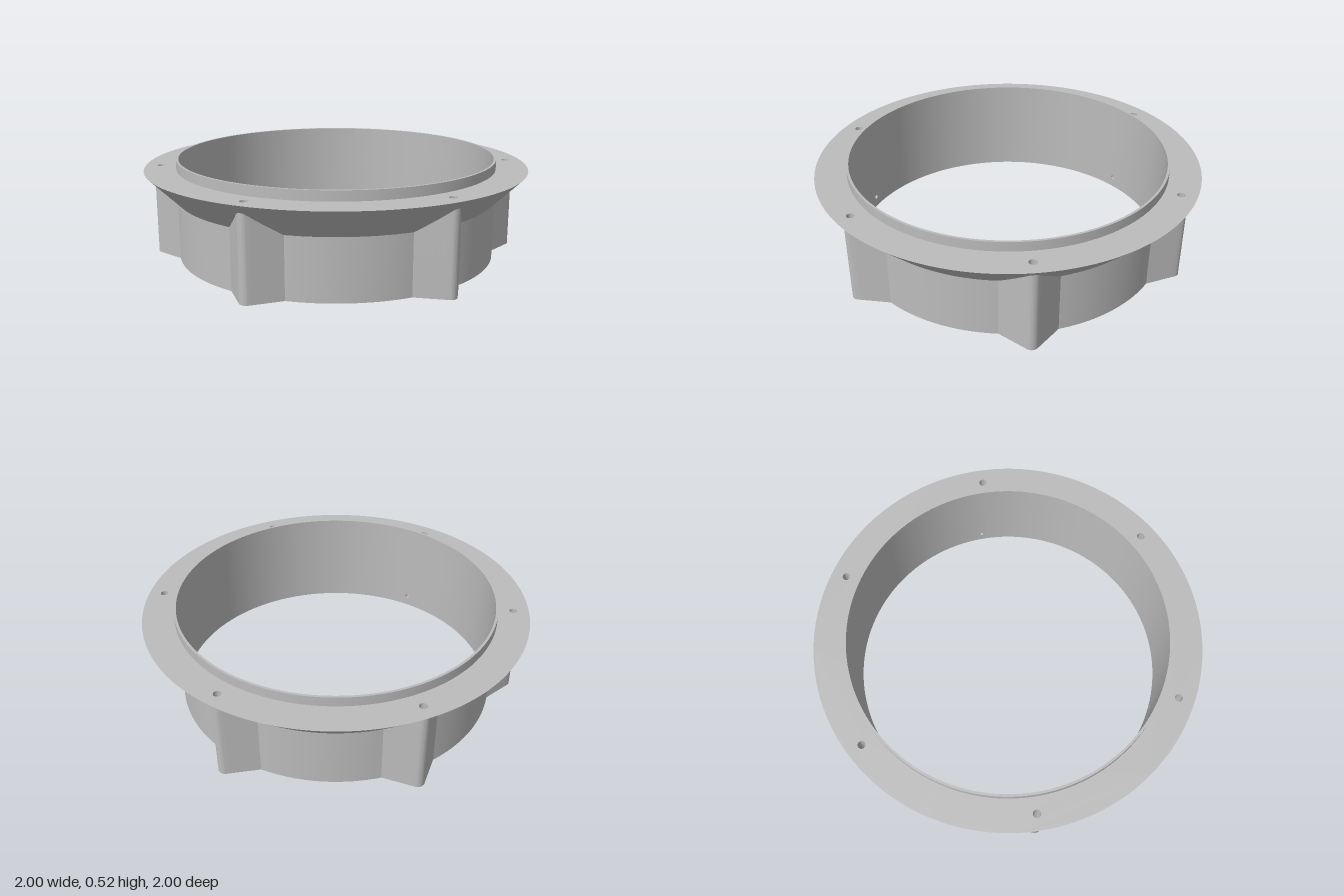
import * as THREE from 'three';
import { toCreasedNormals } from 'three/addons/utils/BufferGeometryUtils.js';

const OUTER = 0.8375, INNER = 0.825, FLANGE = 1;
const CONE_LOW = 0.31, FLANGE_Y = 0.47, TOP = 0.52;
const LUGS = 6, SCREW_R = 0.92, SCREW_HOLE = 0.02, TIP = 0.035;
const PORT_Y = 0.06, PORT_HOLE = 0.012, PORT_DEPTH = 0.06, PANEL = 0.03;
const PORTS = [2.5, 122.5, 242.5].map(THREE.MathUtils.degToRad);

const at = (r, a, y) => new THREE.Vector3(r * Math.sin(a), y, r * Math.cos(a));
const coneY = (r) => CONE_LOW + (FLANGE_Y - CONE_LOW) * (r - OUTER) / (FLANGE - OUTER);

function arc(r, y, a0 = 0, a1 = Math.PI * 2, n = 144) {
  return Array.from({ length: n + 1 }, (_, i) => at(r, a0 + (a1 - a0) * i / n, y));
}

// Skin between two matching point rows; faces outward when b lies above a
function loft(a, b) {
  const pos = [];
  for (let i = 0; i < a.length - 1; i++) {
    for (const p of [a[i], a[i + 1], b[i + 1], a[i], b[i + 1], b[i]]) pos.push(p.x, p.y, p.z);
  }
  const g = new THREE.BufferGeometry();
  g.setAttribute('position', new THREE.Float32BufferAttribute(pos, 3));
  return toCreasedNormals(g, 0.4);
}

// Ring outline with six round-nosed lugs, counterclockwise from above
function outline() {
  const base = THREE.MathUtils.degToRad(9.8), tangent = 0.777, pts = [];
  const foot = at(OUTER, base, 0);
  const shoulder = at(TIP, tangent, 0).add(new THREE.Vector3(0, 0, SCREW_R));
  const half = [];
  for (let i = 0; i < 8; i++) half.push(foot.clone().lerp(shoulder, i / 8));
  for (let i = 0; i < 8; i++) {
    half.push(at(TIP, tangent * (1 - i / 8), 0).add(new THREE.Vector3(0, 0, SCREW_R)));
  }
  const lug = half.map((p) => new THREE.Vector3(-p.x, 0, p.z));
  lug.push(new THREE.Vector3(0, 0, SCREW_R + TIP), ...half.slice().reverse());
  const pitch = Math.PI * 2 / LUGS;
  const between = arc(OUTER, 0, base, pitch - base, 18).slice(1, -1);
  for (let k = 0; k < LUGS; k++) {
    for (const p of [...lug, ...between]) {
      pts.push(p.clone().applyAxisAngle(new THREE.Vector3(0, 1, 0), k * pitch));
    }
  }
  return pts;
}

// Flat plate with a bore and the six screw holes
function plate(points, bore) {
  const flat = (list) => list.map((p) => new THREE.Vector2(p.x, p.z));
  const shape = new THREE.Shape(flat(points));
  shape.holes.push(new THREE.Path(flat(arc(bore, 0).slice(0, -1))));
  for (let k = 0; k < LUGS; k++) {
    const c = at(SCREW_R, k * Math.PI * 2 / LUGS, 0);
    shape.holes.push(new THREE.Path().absarc(c.x, c.z, SCREW_HOLE, 0, Math.PI * 2));
  }
  return new THREE.ShapeGeometry(shape, 12);
}

// Narrow strip of the bore wall with a small round opening
function portPanel(angle) {
  const w = PANEL * INNER;
  const shape = new THREE.Shape([[-w, 0], [w, 0], [w, TOP], [-w, TOP]].map((p) => new THREE.Vector2(...p)));
  shape.holes.push(new THREE.Path().absarc(0, PORT_Y, PORT_HOLE, 0, Math.PI * 2));
  const g = new THREE.ShapeGeometry(shape, 12);
  const pos = g.attributes.position, nor = g.attributes.normal;
  for (let i = 0; i < pos.count; i++) {
    const a = angle - pos.getX(i) / INNER, p = at(INNER, a, pos.getY(i));
    pos.setXYZ(i, p.x, p.y, p.z);
    nor.setXYZ(i, -Math.sin(a), 0, -Math.cos(a));
  }
  return g;
}

// Tube seen from the inside
function hole(r, length) {
  const g = new THREE.CylinderGeometry(r, r, length, 24, 1, true).toNonIndexed();
  const idx = Array.from({ length: g.attributes.position.count / 3 }, (_, i) => [3 * i, 3 * i + 2, 3 * i + 1]).flat();
  g.setIndex(idx);
  return toCreasedNormals(g, 0.5);
}

export function createModel() {
  const model = new THREE.Group();
  model.name = 'mountingRing';
  const grey = new THREE.MeshStandardMaterial({ color: 0xbcbcbc });
  grey.name = 'grey';
  const add = (name, geometry, parent = model) => {
    const mesh = new THREE.Mesh(geometry, grey);
    mesh.name = name;
    parent.add(mesh);
    return mesh;
  };

  // Outer wall with lugs running up into the cone
  const foot = outline();
  const closed = [...foot, foot[0]];
  const upper = closed.map((p) => new THREE.Vector3(p.x, coneY(Math.hypot(p.x, p.z)), p.z));
  add('lugWall', loft(closed, upper));
  add('bottomFace', plate(foot, INNER).rotateX(Math.PI / 2));

  // Flared flange and raised collar
  add('flangeCone', loft(arc(OUTER, CONE_LOW), arc(FLANGE, FLANGE_Y)));
  const top = plate(arc(FLANGE, 0).slice(0, -1), OUTER).rotateX(-Math.PI / 2);
  add('flangeTop', top).position.y = FLANGE_Y;
  add('collar', loft(arc(OUTER, FLANGE_Y), arc(OUTER, TOP)));
  add('collarRim', loft(arc(OUTER, TOP), arc(INNER, TOP)));

  // Screw holes through flange and lugs
  for (let k = 0; k < LUGS; k++) {
    const screw = add('screwHole', hole(SCREW_HOLE, FLANGE_Y));
    screw.position.copy(at(SCREW_R, k * Math.PI * 2 / LUGS, FLANGE_Y / 2));
  }

  // Bore wall with three small blind side holes
  for (const a of PORTS) {
    const a0 = a + PANEL, a1 = a + Math.PI * 2 / 3 - PANEL;
    add('boreWall', loft(arc(INNER, TOP, a0, a1, 48), arc(INNER, 0, a0, a1, 48)));
    add('borePanel', portPanel(a));
    const port = new THREE.Group();
    port.name = 'sideHole';
    port.position.y = PORT_Y;
    port.rotation.y = a;
    add('sideHoleWall', hole(PORT_HOLE, PORT_DEPTH).rotateX(Math.PI / 2), port).position.z = INNER + PORT_DEPTH / 2;
    add('sideHoleEnd', new THREE.CircleGeometry(PORT_HOLE, 24).rotateY(Math.PI), port).position.z = INNER + PORT_DEPTH;
    model.add(port);
  }
  return model;
}
